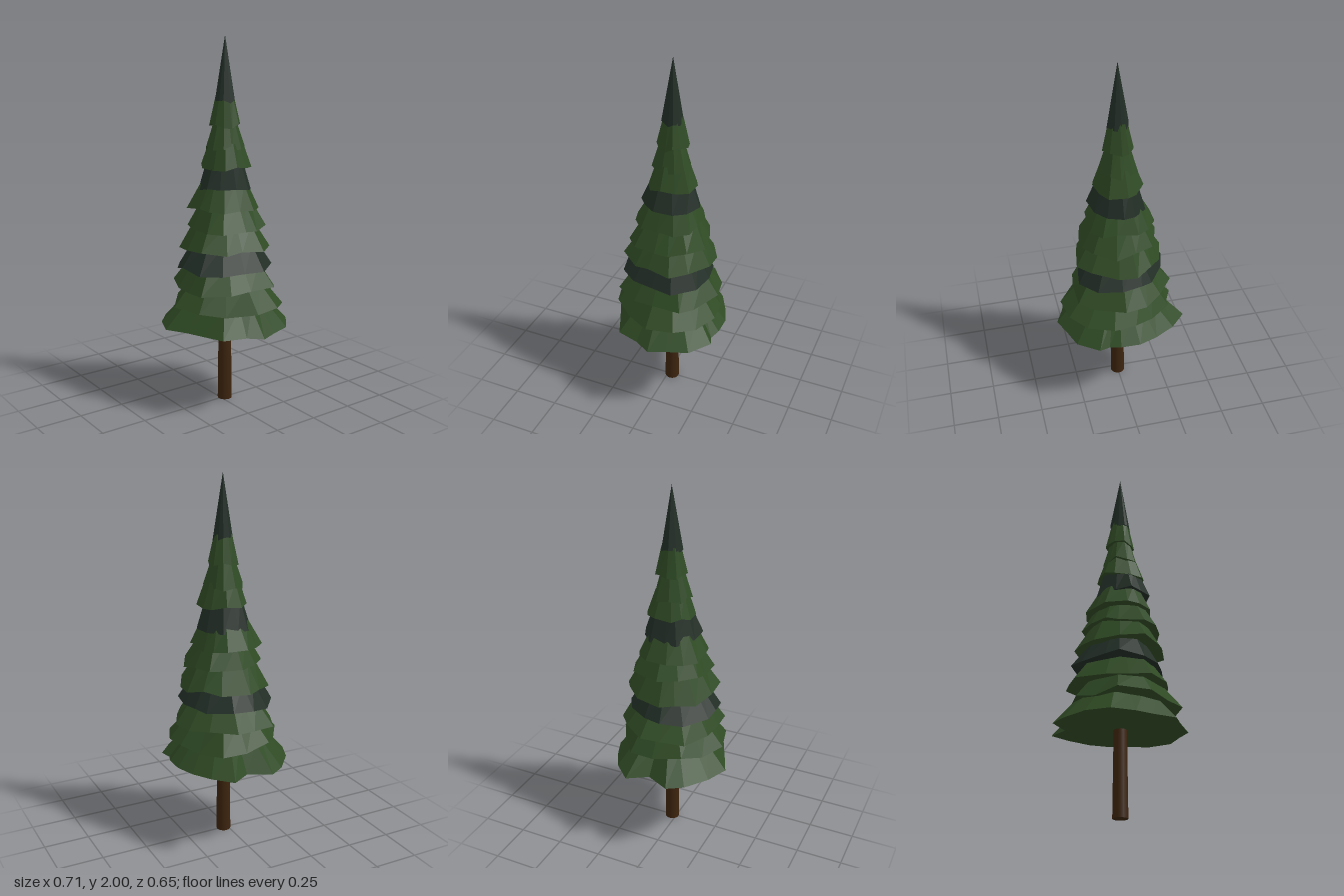
import * as THREE from 'three';

const AXIS_Z = -0.025; // the trunk stands slightly behind the centre

// Small seeded generator for the ragged branch edges
function seeded(seed) {
  let s = seed;
  return () => {
    s = (s * 16807) % 2147483647;
    return s / 2147483647;
  };
}

// Closed ragged skirt: outer rim [x, y, z], a narrower upper ring and a flat underside
function skirtGeometry(rim, topY, shrink, rand) {
  const pos = [];
  const top = rim.map(([x, , z]) => {
    const k = shrink * (0.96 + 0.08 * rand());
    return [x * k, topY, AXIS_Z + (z - AXIS_Z) * k];
  });
  const meanY = rim.reduce((sum, p) => sum + p[1], 0) / rim.length;
  const centre = [0, meanY, AXIS_Z];
  rim.forEach((b0, i) => {
    const j = (i + 1) % rim.length;
    const b1 = rim[j];
    pos.push(...b0, ...top[i], ...b1, ...centre, ...b0, ...b1);
    if (shrink > 0) pos.push(...b1, ...top[i], ...top[j]);
  });
  const g = new THREE.BufferGeometry();
  g.setAttribute('position', new THREE.Float32BufferAttribute(pos, 3));
  g.computeVertexNormals(); // unindexed, so faces stay flat
  return g;
}

// Rim fitted to the reach of the branches on each side (right, left, front, back)
function raggedRim(y, reach, sides, rand) {
  const [px, nx, pz, nz] = reach;
  const rim = [];
  const turn = rand() * 0.4;
  for (let i = 0; i < sides; i++) {
    const a = ((i + turn + (rand() - 0.5) * 0.45) / sides) * Math.PI * 2;
    const c = Math.cos(a), s = Math.sin(a);
    const k = 0.88 + 0.15 * rand();
    rim.push([
      c * (c > 0 ? px : nx) * k,
      y + (rand() - 0.4) * 0.03,
      AXIS_Z + s * (s > 0 ? pz - AXIS_Z : nz + AXIS_Z) * k,
    ]);
  }
  return rim;
}

export function createModel() {
  const green = new THREE.MeshStandardMaterial({ color: 0x2f4a24 });
  const dark = new THREE.MeshStandardMaterial({ color: 0x222e26 });
  const bark = new THREE.MeshStandardMaterial({ color: 0x3d240e });
  green.name = 'needleGreen';
  dark.name = 'darkNeedleGreen';
  bark.name = 'barkBrown';

  const tree = new THREE.Group();
  tree.name = 'pineTree';
  const rand = seeded(4711);
  const add = (geometry, material, name) => {
    const mesh = new THREE.Mesh(geometry, material);
    mesh.name = name;
    tree.add(mesh);
    return mesh;
  };

  // Trunk
  add(new THREE.CylinderGeometry(0.034, 0.04, 0.5, 16), bark, 'trunk').position.set(0, 0.25, AXIS_Z);

  // Widest skirt, outline going clockwise from above
  const outline = [
    [0.352, -0.027], [0.309, 0.057], [0.272, 0.18], [0.156, 0.229], [0.067, 0.27],
    [-0.057, 0.324], [-0.18, 0.274], [-0.29, 0.18], [-0.343, 0.095], [-0.285, -0.03],
    [-0.358, -0.137], [-0.27, -0.232], [-0.16, -0.29], [-0.057, -0.328], [0.05, -0.326],
    [0.11, -0.305], [0.168, -0.324], [0.278, -0.236], [0.316, -0.124],
  ];
  const baseRim = outline.map(([x, z]) => [x, 0.447 + rand() * 0.015, z]);
  add(skirtGeometry(baseRim, 0.59, 0.66, rand), green, 'branchTier1');

  // Upper skirts: rim height, reach to +x, -x, +z, -z, material
  const tiers = [
    [0.565, [0.325, 0.29, 0.285, 0.32], green],
    [0.675, [0.285, 0.30, 0.27, 0.305], green],
    [0.78, [0.245, 0.27, 0.255, 0.275], dark],
    [0.885, [0.25, 0.26, 0.235, 0.285], green],
    [0.995, [0.23, 0.215, 0.2, 0.245], green],
    [1.1, [0.18, 0.195, 0.19, 0.205], green],
    [1.2, [0.16, 0.155, 0.14, 0.18], dark],
    [1.32, [0.135, 0.13, 0.115, 0.165], green],
    [1.415, [0.11, 0.105, 0.09, 0.13], green],
    [1.53, [0.085, 0.088, 0.062, 0.108], green],
    [1.66, [0.057, 0.057, 0.032, 0.082], dark],
  ];
  tiers.forEach(([y, reach, material], i) => {
    const last = i === tiers.length - 1;
    const topY = last ? 2 : tiers[i + 1][0] + 0.03;
    const sides = i < 6 ? 13 : 11;
    const rim = raggedRim(y, reach, sides, rand);
    add(skirtGeometry(rim, topY, last ? 0 : i > 7 ? 0.58 : 0.66, rand), material, last ? 'treeTip' : `branchTier${i + 2}`);
  });

  return tree;
}
